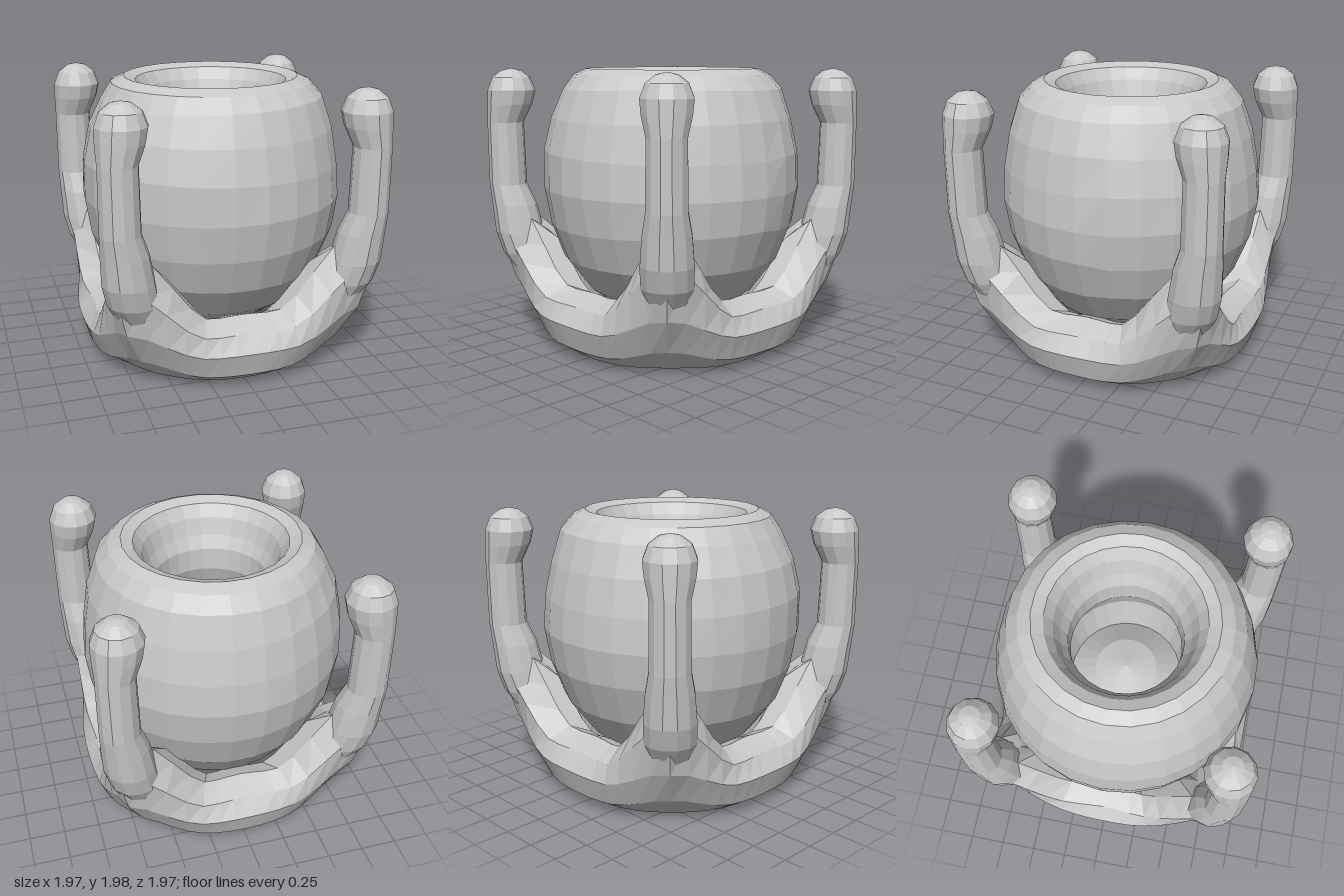
import * as THREE from 'three';

const smooth = THREE.MathUtils.smoothstep;
const lerp = THREE.MathUtils.lerp;

// Small repeatable wobble that gives the hand-modelled facets
const wobble = (i, j) => Math.sin(i * 12.9 + j * 78.2) * Math.cos(i * 4.7 - j * 3.1);

// Skin a grid of points: rows follow the profile, columns go round the y axis
function skin(rows, cols, closed, point) {
  const pos = [], index = [];
  for (let i = 0; i < rows; i++)
    for (let j = 0; j < cols; j++) pos.push(...point(i, j, (j / cols) * Math.PI * 2));
  const last = closed ? rows : rows - 1;
  for (let i = 0; i < last; i++)
    for (let j = 0; j < cols; j++) {
      const n = (i + 1) % rows, k = (j + 1) % cols;
      const a = i * cols + j, b = n * cols + j, c = n * cols + k, d = i * cols + k;
      index.push(a, b, d, b, c, d);
    }
  const g = new THREE.BufferGeometry();
  g.setAttribute('position', new THREE.Float32BufferAttribute(pos, 3));
  g.setIndex(index);
  g.computeVertexNormals();
  return g;
}

export function createModel() {
  const group = new THREE.Group();
  const clay = new THREE.MeshStandardMaterial({ color: 0xc8c8c8, flatShading: true });
  clay.name = 'greyClay';
  const add = (name, geometry) => {
    const mesh = new THREE.Mesh(geometry, clay);
    mesh.name = name;
    group.add(mesh);
  };

  // Round pot: outer wall, rolled rim, mouth and domed floor as [radius, y]
  const potProfile = [
    [0, 0.17], [0.33, 0.22], [0.6, 0.4], [0.78, 0.64], [0.88, 0.9], [0.92, 1.15],
    [0.91, 1.4], [0.86, 1.64], [0.78, 1.84], [0.7, 1.945], [0.61, 1.985], [0.53, 1.955],
    [0.475, 1.87], [0.435, 1.75], [0.39, 1.66], [0.38, 1.5], [0.46, 1.25],
    [0.4, 0.98], [0.22, 1.1], [0, 1.15],
  ];
  add('pot', skin(potProfile.length, 26, false, (i, j, t) => {
    const [r, y] = potProfile[i];
    const bump = i > 1 && i < 9 ? 0.008 * wobble(i, j) : 0;
    return [(r + bump) * Math.cos(t), y + 2 * bump, (r + bump) * Math.sin(t)];
  }));

  // Cradle: section sweeps round, from a low rail at the sides to a tall web at the corners
  const side = [[0.61, 0.05], [0.78, 0.01], [0.92, 0.1], [0.97, 0.27], [0.89, 0.39], [0.73, 0.46], [0.57, 0.39], [0.54, 0.2]];
  const corner = [[0.64, 0.05], [0.82, 0.03], [1.0, 0.2], [1.16, 0.45], [1.27, 0.8], [1.13, 0.98], [0.93, 0.82], [0.72, 0.48]];
  add('cradle', skin(side.length, 56, true, (i, j, t) => {
    const c = Math.abs(Math.cos(t)), s = Math.abs(Math.sin(t));
    const big = Math.max(c, s), tan = Math.min(c, s) / big;
    const squareness = ((1 / big - 1) / (Math.SQRT2 - 1)) ** 0.85;
    const r = lerp(side[i][0], corner[i][0], squareness) + 0.005 * wobble(i, j);
    const y = lerp(side[i][1], corner[i][1], smooth(tan, 0.28, 0.96));
    return [r * Math.cos(t), y, r * Math.sin(t)];
  }));

  // Four knobbed posts growing out of the corners, as [y, offset from centre, radius]
  const post = [
    [0.38, 0.65, 0.1], [0.5, 0.7, 0.15], [0.65, 0.755, 0.175], [0.8, 0.79, 0.175], [1.0, 0.815, 0.16],
    [1.15, 0.845, 0.135], [1.6, 0.85, 0.13], [1.73, 0.825, 0.16], [1.83, 0.815, 0.17],
    [1.92, 0.815, 0.135], [1.97, 0.815, 0.07], [1.985, 0.815, 0],
  ];
  for (const [name, sx, sz] of [
    ['frontLeftPost', 1, 1], ['frontRightPost', -1, 1],
    ['backLeftPost', 1, -1], ['backRightPost', -1, -1],
  ])
    add(name, skin(post.length, 12, false, (i, j, t) => {
      const [y, c, r] = post[i];
      return [sx * c + r * Math.cos(t), y, sz * c + r * Math.sin(t)];
    }));

  return group;
}
